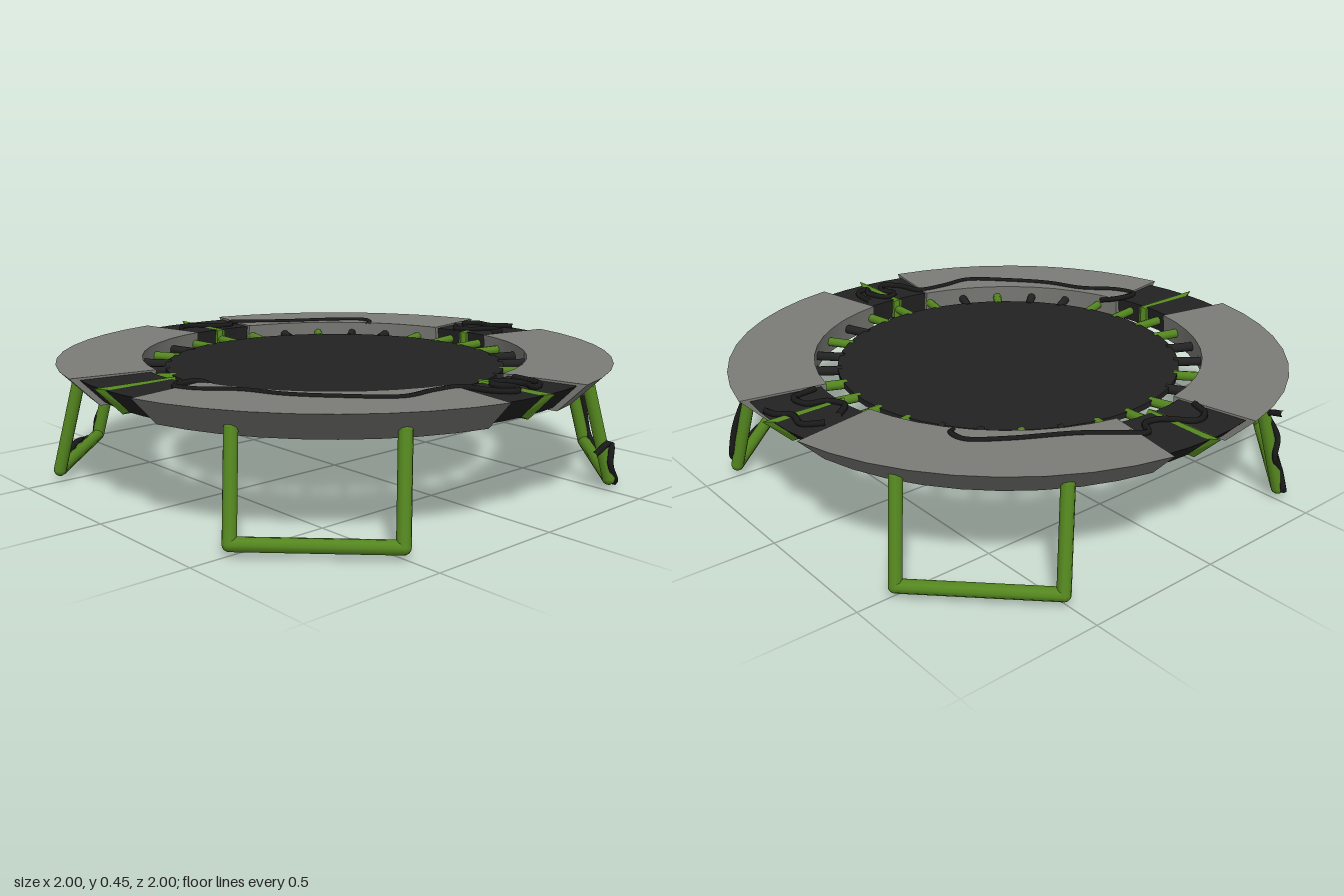
import * as THREE from 'three';
import { toCreasedNormals } from 'three/addons/utils/BufferGeometryUtils.js';
import { ConvexGeometry } from 'three/addons/geometries/ConvexGeometry.js';

const mat = (name, color) => {
  const m = new THREE.MeshStandardMaterial({ color });
  m.name = name;
  return m;
};

const rad = THREE.MathUtils.degToRad;
const V = (p) => new THREE.Vector3(...p);

// Sweep a closed [radius, height] profile around y between two angles, with end caps
function arcBlock(profile, a0, a1, steps) {
  const shape = new THREE.Shape(profile.map(([r, y]) => new THREE.Vector2(r, y)));
  const geo = new THREE.ExtrudeGeometry(shape, { depth: 1, steps, bevelEnabled: false });
  const p = geo.attributes.position;
  for (let i = 0; i < p.count; i++) {
    const r = p.getX(i), a = a0 + (a1 - a0) * p.getZ(i);
    p.setXYZ(i, r * Math.cos(a), p.getY(i), r * Math.sin(a));
  }
  return toCreasedNormals(geo, rad(30));
}

// Straight round bar between two points
function bar(a, b, radius, material, sides = 10) {
  const from = V(a), dir = V(b).sub(from);
  const mesh = new THREE.Mesh(new THREE.CylinderGeometry(radius, radius, dir.length(), sides), material);
  mesh.position.copy(from).addScaledVector(dir, 0.5);
  mesh.quaternion.setFromUnitVectors(new THREE.Vector3(0, 1, 0), dir.normalize());
  return mesh;
}

export function createModel() {
  const green = mat('green frame', 0x54861f);
  const grey = mat('grey padding', 0x7b7b77);
  const black = mat('black fabric', 0x222222);
  const cord = mat('black cord', 0x1a1a1a);

  const model = new THREE.Group();
  model.name = 'trampoline';
  const add = (name, obj, parent = model) => {
    obj.name = name;
    parent.add(obj);
    return obj;
  };

  // Jumping mat
  const mesh = add('jumpingMat', new THREE.Mesh(new THREE.CylinderGeometry(0.62, 0.62, 0.02, 48), black));
  mesh.position.y = 0.392;

  // Spring straps around the mat
  const springs = add('springs', new THREE.Group());
  for (let i = 0; i < 30; i++) {
    const deg = i * 12 + 90, a = rad(deg);
    const fromAxis = Math.abs(((deg + 45) % 90) - 45);
    const c = Math.cos(a), s = Math.sin(a);
    const isGreen = fromAxis < 13 || i % 3 === 0;
    add('spring', bar([0.605 * c, 0.39, 0.605 * s], [0.74 * c, 0.395, 0.74 * s], 0.017, isGreen ? green : black, 8), springs);
  }

  // Padding, joint covers and frame fins, one of each per quarter
  const padProfile = [[0.71, 0.345], [0.9, 0.34], [1.0, 0.44], [0.7, 0.44]];
  const coverProfile = [[0.73, 0.352], [0.885, 0.35], [0.965, 0.432], [0.72, 0.434]];
  const half = rad(10.8);
  const padGeo = arcBlock(padProfile, half, Math.PI / 2 - half, 9);
  const coverGeo = arcBlock(coverProfile, -half - 0.01, half + 0.01, 4);

  // Thin fin with a ridge along its middle, ending in a pointed tip
  const finGeo = new ConvexGeometry([
    ...[[0.7, 0.345], [0.9, 0.343], [0.998, 0.44], [0.7, 0.438]].map(([r, y]) => V([r, y, 0])),
    ...[-0.02, 0.02].flatMap((z) =>
      [[0.71, 0.36], [0.885, 0.355], [0.94, 0.43], [0.71, 0.43]].map(([r, y]) => V([r, y, z]))),
  ]);

  for (let q = 0; q < 4; q++) {
    const quarter = add('frameQuarter', new THREE.Group());
    quarter.rotation.y = (-q * Math.PI) / 2;
    add('edgePad', new THREE.Mesh(padGeo, grey), quarter);
    add('jointCover', new THREE.Mesh(coverGeo, black), quarter);
    add('frameFin', new THREE.Mesh(finGeo, green), quarter);

    // U-shaped leg, splayed outwards
    const leg = add('leg', new THREE.Group(), quarter);
    const path = [[0.448, 0.37, 0.808], [0.51, 0.042, 0.868], [0.868, 0.042, 0.51], [0.808, 0.37, 0.448]];
    for (let i = 0; i < 3; i++) add('legTube', bar(path[i], path[i + 1], 0.023, green), leg);
    path.forEach((p) => {
      const joint = add('legJoint', new THREE.Mesh(new THREE.SphereGeometry(0.023, 10, 8), green), leg);
      joint.position.set(...p);
    });
  }

  // Loose cords: points are [x, z] on top of the padding, or [x, y, z] elsewhere
  const cords = {
    backCord: [[-0.14, -0.77], [-0.11, -0.84], [-0.05, -0.86], [0.03, -0.78], [0.09, -0.77], [0.13, -0.82],
      [0.18, -0.785], [0.3, -0.69], [0.49, -0.58], [0.59, -0.5], [0.595, -0.44], [0.56, 0.43, -0.41]],
    frontLeftCord: [[-0.67, 0.42, 0.2], [-0.69, 0.13], [-0.79, 0.13], [-0.77, 0.21], [-0.67, 0.32], [-0.61, 0.46],
      [-0.5, 0.6], [-0.37, 0.72], [-0.24, 0.72], [-0.13, 0.74], [-0.1, 0.84], [-0.05, 0.89], [-0.01, 0.85],
      [-0.03, 0.78], [0.02, 0.75], [0.06, 0.84], [0.03, 0.89], [0.09, 0.87], [0.11, 0.75]],
    sideCord: [[0.79, -0.11], [0.73, -0.05], [0.76, 0.01], [0.82, 0.03], [0.83, 0.1], [0.74, 0.12]],
    sideEndCord: [[0.85, -0.13], [0.91, -0.09], [0.9, -0.01], [0.94, 0.03], [0.95, 0.07]],
    frontLegCord: [[0.43, 0.14, 0.86], [0.5, 0.175, 0.875], [0.49, 0.1, 0.885], [0.54, 0.035, 0.875], [0.57, 0.012, 0.85],
      [0.68, 0.035, 0.74], [0.84, 0.045, 0.575], [0.88, 0.08, 0.52], [0.865, 0.2, 0.5], [0.81, 0.34, 0.475]],
    backLegCord: [[-0.46, 0.35, -0.89], [-0.46, 0.33, -0.83], [-0.49, 0.24, -0.86], [-0.47, 0.18, -0.87], [-0.51, 0.11, -0.87],
      [-0.51, 0.04, -0.895], [-0.6, 0.05, -0.81], [-0.7, 0.075, -0.7], [-0.76, 0.055, -0.65]],
  };
  for (const [name, pts] of Object.entries(cords)) {
    const curve = new THREE.CatmullRomCurve3(pts.map((p) => V(p.length === 2 ? [p[0], 0.44, p[1]] : p)));
    add(name, new THREE.Mesh(new THREE.TubeGeometry(curve, pts.length * 6, 0.011, 6), cord));
  }

  return model;
}
